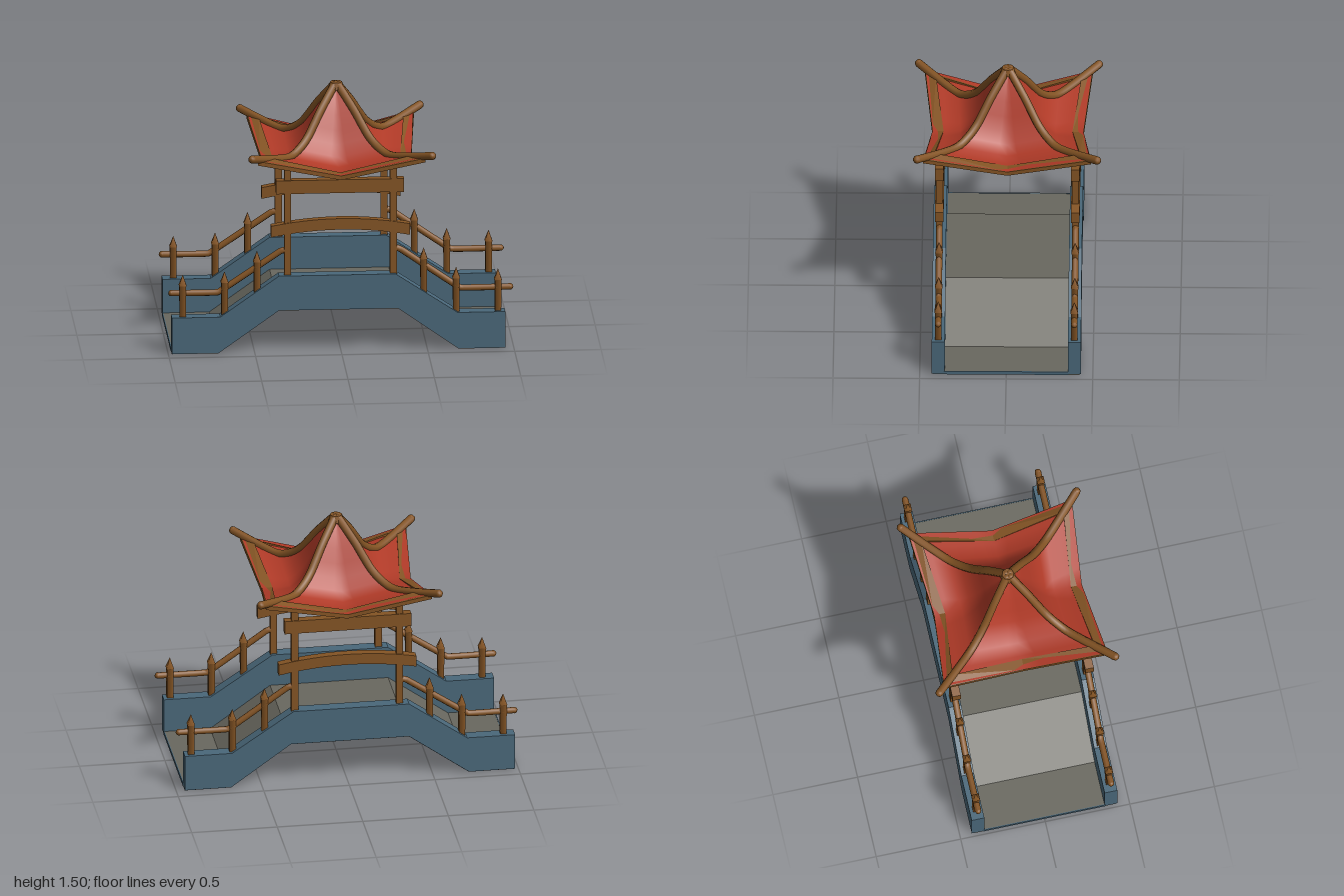
import * as THREE from 'three';

const mat = (name, color, side = THREE.FrontSide) => {
  const m = new THREE.MeshStandardMaterial({ color, side });
  m.name = name;
  return m;
};

export function createModel() {
  const model = new THREE.Group();
  model.name = 'coveredBridge';
  const wood = mat('wood', 0x845424);
  const blue = mat('blueStone', 0x4a687a);
  const gray = mat('grayDeck', 0x69685f);
  const red = mat('redRoof', 0xb03a27, THREE.DoubleSide);

  const add = (name, geo, material, x = 0, y = 0, z = 0, parent = model) => {
    const m = new THREE.Mesh(geo, material);
    m.name = name;
    m.position.set(x, y, z);
    parent.add(m);
    return m;
  };
  // Side profile extruded along z, centred on z = 0
  const slab = (shape, depth) =>
    new THREE.ExtrudeGeometry(shape, { depth, bevelEnabled: false, curveSegments: 12 }).translate(0, 0, -depth / 2);
  const poly = pts => new THREE.Shape(pts.map(p => new THREE.Vector2(...p)));
  // Round pole with tapered tips along a path
  const pole = (name, pts, r, tension, parent = model) => {
    const v = pts.map(p => new THREE.Vector3(...p));
    const curve = new THREE.CatmullRomCurve3(v, false, 'catmullrom', tension);
    add(name, new THREE.TubeGeometry(curve, 36, r, 8), wood, 0, 0, 0, parent);
    for (const p of [v[0], v[v.length - 1]])
      add(name + 'Tip', new THREE.SphereGeometry(r, 8, 6), wood, p.x, p.y, p.z, parent);
  };

  // Arched deck
  const under = [[-0.98, 0], [-0.71, 0], [-0.36, 0.25], [0.33, 0.25], [0.68, 0], [0.95, 0]];
  const raised = h => under.map(([x, y]) => [x, y + h]).reverse();
  add('deck', slab(poly([...under, ...raised(0.018)]), 0.72), gray);
  add('deckUnderside', slab(poly([...under, ...raised(0.006)]), 0.845), gray);
  for (const x of [-0.979, 0.949])
    add('deckLip', new THREE.BoxGeometry(0.006, 0.02, 0.72), blue, x, 0.01, 0);

  // Parapets, railings, posts and beams, one set on each side
  const wall = poly([...under.map(([x, y]) => [x, y + 0.004]),
    [0.95, 0.22], [0.675, 0.22], [0.315, 0.46], [-0.36, 0.46], [-0.7, 0.22], [-0.98, 0.22]]);
  const arch = new THREE.Shape();
  arch.moveTo(-0.405, 0.69);
  arch.quadraticCurveTo(0, 0.77, 0.4, 0.69);
  arch.lineTo(0.4, 0.757);
  arch.quadraticCurveTo(0, 0.835, -0.405, 0.757);
  const picket = new THREE.CylinderGeometry(0.027, 0.025, 0.23, 4).rotateY(Math.PI / 4);
  const point = new THREE.ConeGeometry(0.031, 0.065, 4).rotateY(Math.PI / 4);

  for (const side of [1, -1]) {
    const z = 0.393 * side;
    add('parapet', slab(wall, 0.075), blue, 0, 0, z);
    add('upperBeam', new THREE.BoxGeometry(0.74, 0.08, 0.05), wood, -0.005, 0.99, z);
    add('archedBeam', slab(arch, 0.05), wood, 0, 0, z);
    for (const x of [-0.308, 0.305])
      add('pillar', new THREE.BoxGeometry(0.04, 0.7, 0.038), wood, x, 0.75, z);
    pole('leftRail', [[0.31, 0.61, z], [0.345, 0.6, z], [0.69, 0.36, z], [0.98, 0.36, z]], 0.019, 0.05);
    pole('rightRail', [[-0.31, 0.61, z], [-0.35, 0.6, z], [-0.71, 0.36, z], [-0.98, 0.36, z]], 0.019, 0.05);
    for (const [x, top] of [[-0.915, 0.47], [-0.673, 0.485], [-0.485, 0.605], [0.48, 0.605], [0.668, 0.485], [0.91, 0.47]]) {
      add('railPost', picket, wood, x, top - 0.175, z);
      add('railPostTip', point, wood, x, top - 0.0325, z);
    }
  }

  // Roof: hip line as [distance from the axis, height]
  const hip = [[0, 1.475], [0.05, 1.42], [0.1, 1.345], [0.14, 1.275], [0.18, 1.21], [0.23, 1.16],
    [0.29, 1.132], [0.38, 1.148], [0.48, 1.175]];
  const cols = 10;
  const grid = (rows, n, at) => {
    const pos = [], idx = [];
    for (let i = 0; i < rows; i++) for (let j = 0; j < n; j++) pos.push(...at(i, j));
    for (let i = 0; i < rows - 1; i++) for (let j = 0; j < n - 1; j++) {
      const a = i * n + j, b = a + n;
      idx.push(a, b, b + 1, a, b + 1, a + 1);
    }
    const g = new THREE.BufferGeometry();
    g.setAttribute('position', new THREE.Float32BufferAttribute(pos, 3));
    g.setIndex(idx);
    return g;
  };
  // Each panel dips and draws in toward the middle of its eave
  const panel = grid(hip.length, cols + 1, (i, j) => {
    const [r, y] = hip[i], u = 2 * j / cols - 1, dip = (1 - Math.abs(u)) * r / 0.48;
    return [r * u, y - 0.115 * dip, r * (1 - 0.095 * dip)];
  });
  panel.computeVertexNormals();
  // Eave board: a closed four-sided section swept corner, middle, corner
  const section = [[0, 0], [0, -0.025], [-0.065, -0.015], [-0.065, 0.002], [0, 0]];
  const eave = grid(3, 5, (i, j) => {
    const u = i - 1, mid = 1 - Math.abs(u), [d, h] = section[j];
    return [u * (0.485 + d), 1.17 - 0.112 * mid + h, 0.485 - 0.048 * mid + d];
  }).toNonIndexed();
  eave.computeVertexNormals();
  const eaveWood = mat('eaveWood', 0x845424, THREE.DoubleSide);

  for (let k = 0; k < 4; k++) {
    const quarter = new THREE.Group();
    quarter.name = 'roofQuarter';
    quarter.rotation.y = k * Math.PI / 2;
    model.add(quarter);
    add('roofPanel', panel, red, 0, 0, 0, quarter);
    add('eaveBoard', eave, eaveWood, 0, 0, 0, quarter);
    const path = [[0.012, 1.475], ...hip.slice(1, -1), [0.52, 1.19]];
    pole('hipRidge', path.map(([r, y]) => [r, y + 0.003, r]), 0.024, 0.5, quarter);
  }
  add('roofCap', new THREE.CylinderGeometry(0.035, 0.045, 0.04, 8), wood, 0, 1.478, 0);

  return model;
}
